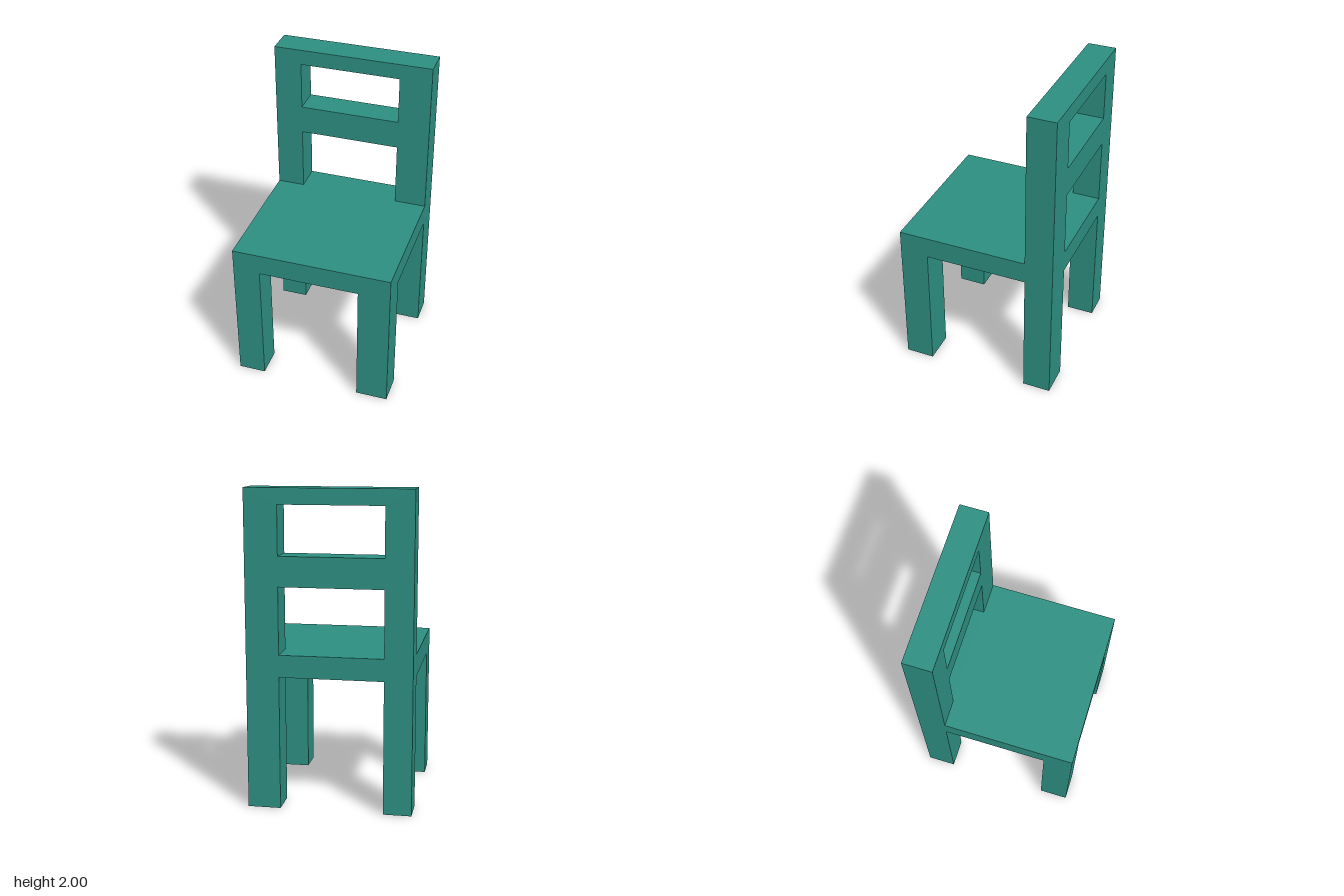
import * as THREE from 'three';

// Main levels and edges of the chair
const HALF = 0.517;
const INNER_RIGHT = -0.34, INNER_LEFT = 0.31;
const SEAT_BOTTOM = 0.845, SEAT_TOP = 0.985;
const BACK_FACE = -0.335, LEG_BACK = 0.33;

export function createModel() {
  const group = new THREE.Group();
  const paint = new THREE.MeshStandardMaterial({ color: 0x2e9083 });
  paint.name = 'teal paint';

  const add = (name, geometry) => {
    const mesh = new THREE.Mesh(geometry, paint);
    mesh.name = name;
    group.add(mesh);
    return mesh;
  };

  // Box given by its lower and upper corners
  const addBox = (name, [x0, y0, z0], [x1, y1, z1]) =>
    add(name, new THREE.BoxGeometry(x1 - x0, y1 - y0, z1 - z0))
      .position.set((x0 + x1) / 2, (y0 + y1) / 2, (z0 + z1) / 2);

  // Back frame: rear legs, posts and rails cut from one board
  const frame = new THREE.Shape([
    [-HALF, 0], [INNER_RIGHT, 0], [INNER_RIGHT, SEAT_BOTTOM],
    [INNER_LEFT, SEAT_BOTTOM], [INNER_LEFT, 0], [HALF, 0], [HALF, 2], [-HALF, 2],
  ].map(([x, y]) => new THREE.Vector2(x, y)));

  // Openings below and above the middle rail
  for (const [low, high] of [[SEAT_TOP, 1.405], [1.592, 1.9]]) {
    frame.holes.push(new THREE.Path([
      [INNER_RIGHT, low], [INNER_RIGHT, high], [INNER_LEFT, high], [INNER_LEFT, low],
    ].map(([x, y]) => new THREE.Vector2(x, y))));
  }
  add('backFrame', new THREE.ExtrudeGeometry(frame, {
    depth: BACK_FACE + HALF, bevelEnabled: false,
  })).position.z = -HALF;

  // Seat
  addBox('seat', [-HALF, SEAT_BOTTOM, BACK_FACE], [HALF, SEAT_TOP, HALF]);

  // Front legs
  addBox('frontRightLeg', [-HALF, 0, LEG_BACK], [INNER_RIGHT, SEAT_BOTTOM, HALF]);
  addBox('frontLeftLeg', [INNER_LEFT, 0, LEG_BACK], [HALF, SEAT_BOTTOM, HALF]);

  return group;
}
